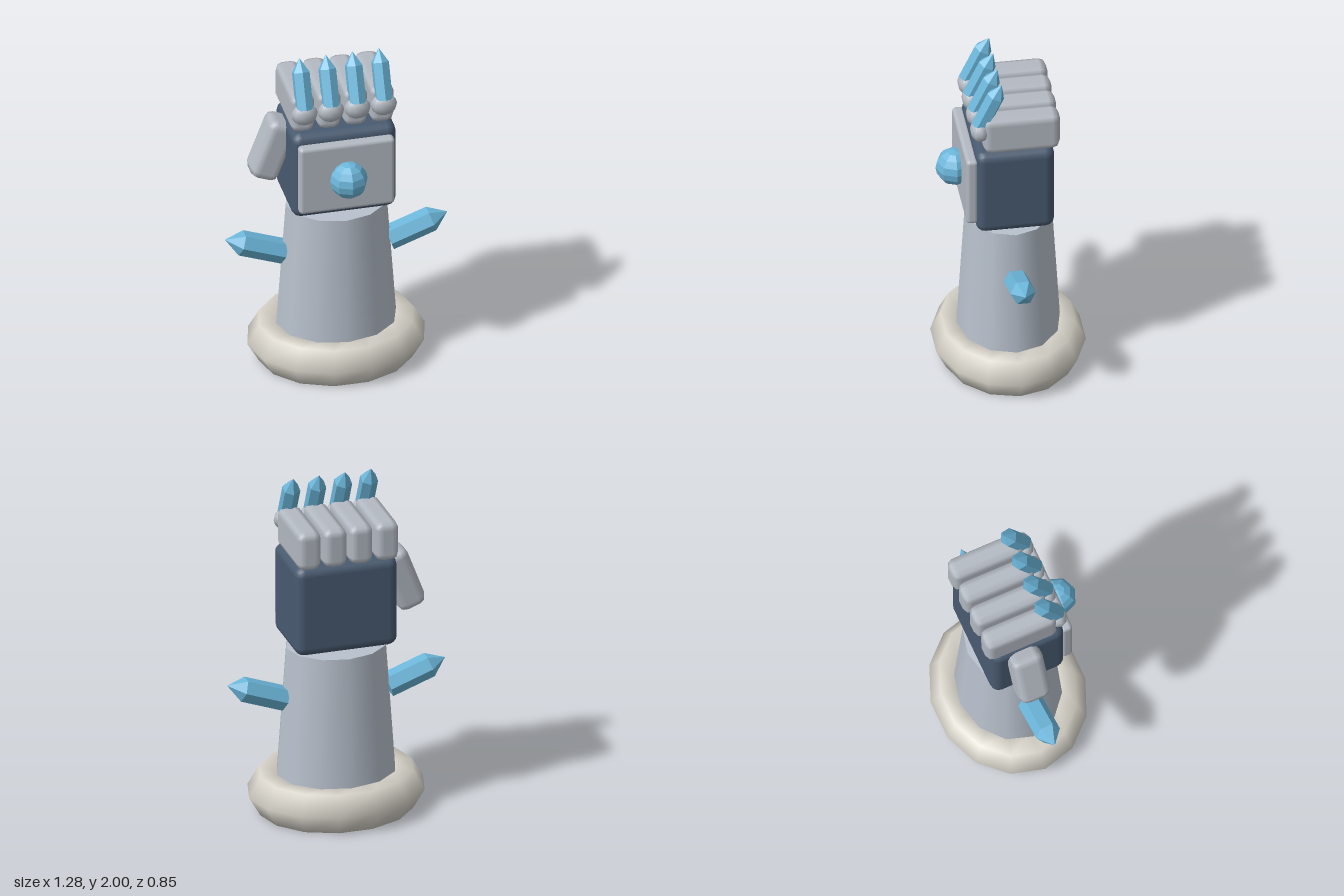
import * as THREE from 'three';
import { RoundedBoxGeometry } from 'three/addons/geometries/RoundedBoxGeometry.js';

function material(name, color, flatShading = false) {
  const m = new THREE.MeshStandardMaterial({ color, flatShading });
  m.name = name;
  return m;
}

export function createModel() {
  const sleeveGrey = material('sleeve grey', 0xb8c1cd);
  const steel = material('steel', 0xb3b9c2);
  const navy = material('navy', 0x485a70);
  const ice = material('ice blue', 0x6cb6da, true);
  const ivory = material('ivory', 0xd6d2c8);

  const model = new THREE.Group();
  model.name = 'gauntlet';

  function add(name, geometry, mat, x, y, z) {
    const mesh = new THREE.Mesh(geometry, mat);
    mesh.name = name;
    mesh.position.set(x, y, z);
    model.add(mesh);
    return mesh;
  }

  // Six-sided crystal: closed base at the origin, straight shaft, pointed tip along +y
  function crystal(radius, shaft, tip) {
    const profile = [[0, 0], [radius, 0], [radius, shaft], [0, shaft + tip]];
    return new THREE.LatheGeometry(profile.map(p => new THREE.Vector2(...p)), 6);
  }

  // Cuff ring, squashed front to back
  const ring = new THREE.TorusGeometry(0.377, 0.133, 6, 14);
  ring.rotateX(Math.PI / 2);
  ring.scale(1, 1, 0.85);
  add('cuff', ring, ivory, 0, 0.115, 0);

  // Tapered oval forearm
  const sleeve = new THREE.CylinderGeometry(0.29, 0.345, 0.775, 12);
  sleeve.scale(1, 1, 0.85);
  add('forearm', sleeve, sleeveGrey, 0, 0.6125, 0);

  // Crystals on both sides of the forearm
  for (const side of [-1, 1]) {
    const spike = add('forearmCrystal', crystal(0.072, 0.26, 0.098), ice, side * 0.303, 0.698, 0);
    // vertices of the hexagon point to the front and back
    spike.rotation.z = -side * (Math.PI / 2 - 0.35);
  }

  // Fist body, back plate and gem
  add('palm', new RoundedBoxGeometry(0.6, 0.54, 0.445, 2, 0.055), navy, 0, 1.3, 0);
  add('backPlate', new RoundedBoxGeometry(0.55, 0.43, 0.07, 2, 0.024), steel, 0, 1.305, 0.242);
  add('gem', new THREE.SphereGeometry(0.108, 8, 8), ice, 0, 1.305, 0.302);

  // Fingers, each with a knuckle and a crystal leaning back
  for (let i = 0; i < 4; i++) {
    const x = -0.228 + i * 0.152;
    add('finger', new RoundedBoxGeometry(0.138, 0.235, 0.435, 1, 0.045), steel, x, 1.683, -0.037);
    const knuckle = new THREE.SphereGeometry(0.075, 10, 8);
    knuckle.scale(1, 0.86, 0.72);
    add('knuckle', knuckle, steel, x, 1.705, 0.196);
    const claw = add('knuckleCrystal', crystal(0.052, 0.215, 0.08), ice, x, 1.733, 0.196);
    claw.rotation.x = -0.436;
  }

  // Thumb lying against the fist's side
  const thumb = add('thumb', new RoundedBoxGeometry(0.17, 0.375, 0.19, 1, 0.05), steel, -0.362, 1.375, -0.04);
  thumb.rotation.z = -0.36;

  return model;
}
